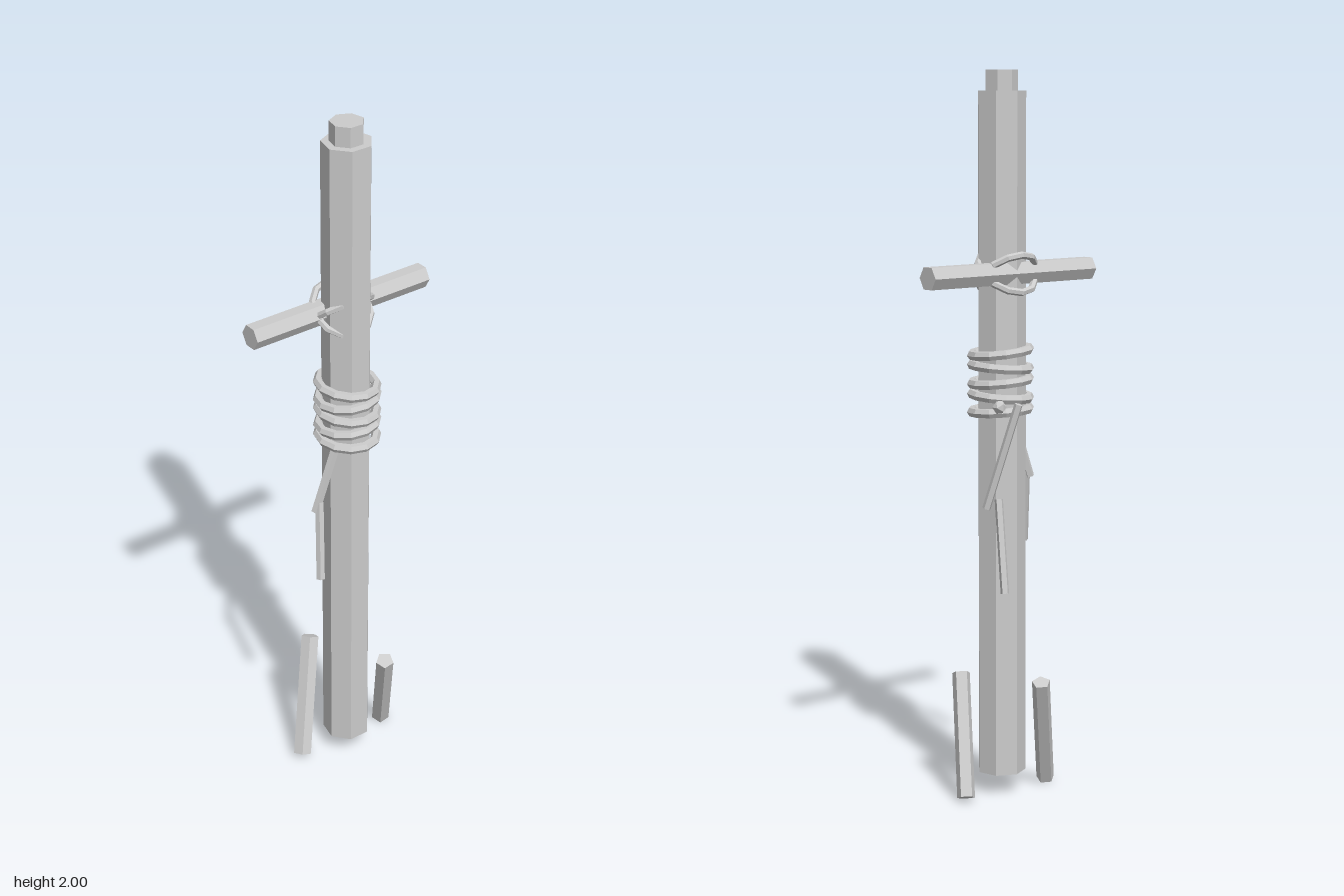
import * as THREE from 'three';

const material = new THREE.MeshStandardMaterial({ color: 0xcccccc, flatShading: true });

function add(parent, name, geometry, x = 0, y = 0, z = 0) {
  const mesh = new THREE.Mesh(geometry, material);
  mesh.name = name;
  mesh.position.set(x, y, z);
  parent.add(mesh);
  return mesh;
}

// Straight low-poly stick between two points, listed bottom to top
function stick(parent, name, from, to, radius, sides) {
  const a = new THREE.Vector3(...from), b = new THREE.Vector3(...to);
  const dir = b.clone().sub(a);
  const geometry = new THREE.CylinderGeometry(radius, radius, dir.length(), sides).rotateY(Math.PI);
  const mesh = add(parent, name, geometry);
  mesh.position.copy(a).add(b).multiplyScalar(0.5);
  mesh.quaternion.setFromUnitVectors(new THREE.Vector3(0, 1, 0), dir.normalize());
  return mesh;
}

// Horizontal rope ring, tilted about x and z
function ring(parent, name, y, z, radius, tube, tiltX, tiltZ) {
  const geometry = new THREE.TorusGeometry(radius, tube, 6, 12).rotateX(Math.PI / 2);
  add(parent, name, geometry, 0, y, z).rotation.set(tiltX, 0, tiltZ);
}

export function createModel() {
  const model = new THREE.Group();
  model.name = 'lashedPost';
  const postZ = 0.018;

  // Seven-sided post with a narrower peg on top
  stick(model, 'post', [0, 0.06, postZ], [0, 1.945, postZ], 0.068, 7);
  stick(model, 'topPeg', [0, 1.93, postZ], [0, 2, postZ], 0.046, 7);

  // Six-sided crossbar, flat side up
  const bar = new THREE.CylinderGeometry(0.034, 0.034, 0.567, 6).rotateZ(Math.PI / 2);
  add(model, 'crossbar', bar, 0, 1.457, -0.021);

  // Two crossed loops tying the crossbar to the post
  for (const side of [-1, 1]) {
    ring(model, 'crossLashing', 1.458, -0.004, 0.083, 0.01, side * 0.65, 0);
  }

  // Rope wound around the post
  const coil = new THREE.Group();
  coil.name = 'ropeCoil';
  model.add(coil);
  const tilts = [[0.05, -0.04], [-0.06, 0.05], [0.05, -0.07], [-0.04, 0.06], [0.06, -0.09]];
  tilts.forEach(([tx, tz], i) => {
    ring(coil, 'ropeTurn', 1.08 + i * 0.04, 0.02, 0.08, 0.0135, tx, tz);
  });

  // Loose rope ends, each bent once, and the knot
  add(model, 'knot', new THREE.IcosahedronGeometry(0.02), 0.065, 1.1, -0.053);
  stick(model, 'leftRopeUpper', [0.085, 0.82, -0.022], [0.035, 1.11, -0.098], 0.012, 5);
  stick(model, 'leftRopeLower', [0.095, 0.6, -0.112], [0.073, 0.85, -0.06], 0.012, 5);
  stick(model, 'rightRopeUpper', [-0.12, 0.88, 0.035], [-0.06, 1.08, 0.05], 0.012, 5);
  stick(model, 'rightRopeLower', [-0.139, 0.69, 0.083], [-0.11, 0.91, 0.04], 0.012, 5);

  // Leaning stakes at the foot
  stick(model, 'leftStake', [0.145, 0.012, -0.005], [0.065, 0.33, 0.115], 0.026, 5);
  stick(model, 'rightStake', [-0.145, 0.012, -0.005], [-0.037, 0.33, -0.11], 0.026, 5);

  return model;
}
